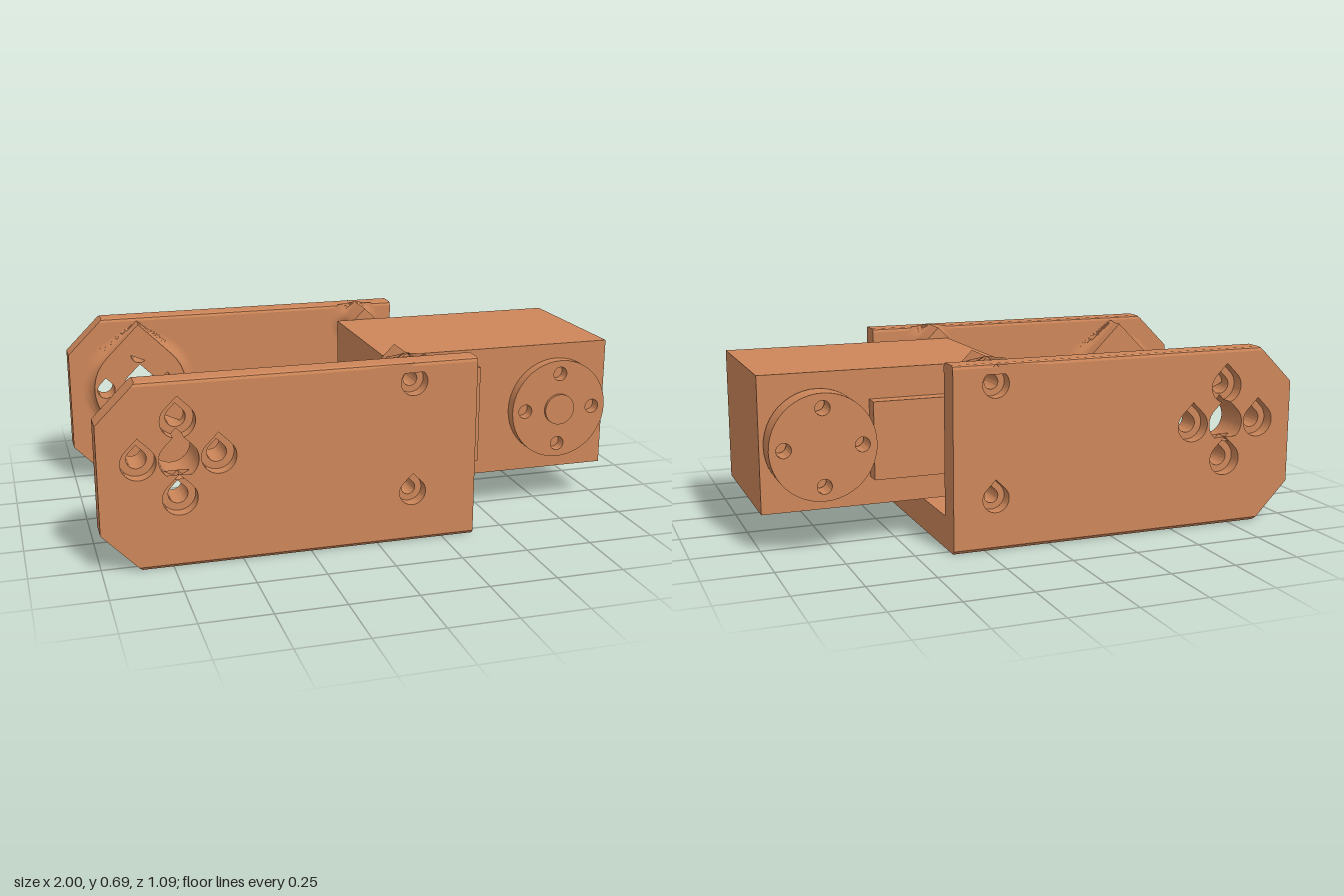
import * as THREE from 'three';
import { toCreasedNormals } from 'three/addons/utils/BufferGeometryUtils.js';

const ROOT2 = Math.SQRT2, PI = Math.PI;
const MID = 0.395; // height of the joint axis
const HORN_X = -0.72; // joint axis on the bracket
const FOUR = [[0.14, 0], [-0.14, 0], [0, 0.14], [0, -0.14]];

// points along an arc
const arc = (x, y, r, a0, a1, n = 28) => Array.from({ length: n + 1 }, (_, i) => {
  const a = a0 + (a1 - a0) * i / n;
  return new THREE.Vector2(x + r * Math.cos(a), y + r * Math.sin(a));
});
const circle = (x, y, r) => arc(x, y, r, 0, 2 * PI, 48).slice(0, -1);

// circle with a 45 degree peak, so it needs no support when printed
const teardrop = (x, y, r) =>
  [...arc(x, y, r, 0.75 * PI, 2.25 * PI), new THREE.Vector2(x, y + r * ROOT2)];

// shape with holes, extruded between two z values
function slab(outline, holes, za, zb) {
  const shape = new THREE.Shape(outline);
  shape.holes = holes.map((h) => new THREE.Path(h));
  const g = new THREE.ExtrudeGeometry(shape, { depth: Math.abs(zb - za), bevelEnabled: false });
  g.translate(0, 0, Math.min(za, zb));
  return toCreasedNormals(g, 0.5);
}

// concave fillet from a teardrop boss down to the plate it stands on
function filletGeometry(x, y, r, f, zBase, dir, yMax) {
  const pos = [], index = [], steps = 8;
  let n = 0;
  for (let i = 0; i <= steps; i++) {
    const a = i / steps * PI / 2;
    const ring = teardrop(x, y, r + f * (1 - Math.sin(a)));
    n = ring.length;
    ring.forEach((p) => pos.push(p.x, Math.min(p.y, yMax), zBase + dir * f * (1 - Math.cos(a))));
  }
  for (let i = 0; i < steps; i++) for (let j = 0; j < n; j++) {
    const a = i * n + j, b = i * n + (j + 1) % n, c = a + n, d = b + n;
    if (dir > 0) index.push(a, b, d, a, d, c);
    else index.push(a, d, b, a, c, d);
  }
  const g = new THREE.BufferGeometry();
  g.setAttribute('position', new THREE.Float32BufferAttribute(pos, 3));
  g.setIndex(index);
  return toCreasedNormals(g, 0.5);
}

// central bore joined with the counterbore above it
function keyhole(x, y) {
  const r = 0.07, cb = 0.062, up = y + 0.14;
  // where the bore's sloping peak meets the counterbore
  const d = 0.14 - r * ROOT2;
  const t = (-d + Math.sqrt(2 * cb * cb - d * d)) / 2;
  const a = Math.atan2(-(d + t), t);
  return [
    ...arc(x, y, r, 0.75 * PI, 2.25 * PI),
    ...arc(x, up, cb, a, PI / 4, 14),
    new THREE.Vector2(x, up + cb * ROOT2),
    ...arc(x, up, cb, 0.75 * PI, PI - a, 14),
  ];
}

export function createModel() {
  const model = new THREE.Group();
  const copper = new THREE.MeshStandardMaterial({ color: 0xcd8659, side: THREE.DoubleSide });
  copper.name = 'copper plastic';
  const add = (parent, name, geometry) => {
    const mesh = new THREE.Mesh(geometry, copper);
    mesh.name = name;
    parent.add(mesh);
    return mesh;
  };
  const box = (parent, name, x0, x1, y0, y1, z0, z1) => {
    const g = new THREE.BoxGeometry(x1 - x0, y1 - y0, z1 - z0);
    g.translate((x0 + x1) / 2, (y0 + y1) / 2, (z0 + z1) / 2);
    return add(parent, name, g);
  };

  const bracket = new THREE.Group();
  bracket.name = 'bracket';
  model.add(bracket);

  const IN = 0.45, STEP = 0.495, OUT = 0.545, LOW = 0.012, HIGH = 0.664, TOP = 0.678;
  const outline = [
    [0.37, LOW], [0.37, HIGH], [-0.86 - (TOP - HIGH), HIGH],
    [-1, 0.538], [-1, 0.145], [-0.86 - LOW, LOW],
  ].map(([x, y]) => new THREE.Vector2(x, y));

  // two arms: +1 is the front one, -1 the back one
  for (const s of [1, -1]) {
    const arm = new THREE.Group();
    arm.name = s > 0 ? 'frontArm' : 'backArm';
    bracket.add(arm);
    const screwX = s > 0 ? 0.13 : 0.21;
    const screws = [[screwX, 0.605], [screwX, 0.19]];
    const bores = [
      teardrop(HORN_X, MID, 0.07),
      ...FOUR.map(([x, y]) => teardrop(HORN_X + x, MID + y, 0.035)),
    ];
    const screwBores = screws.map(([x, y]) => teardrop(x, y, 0.026));

    // plate: inner layer with bores, outer layer with counterbores
    add(arm, 'innerPlate', slab(outline, [...bores, ...screwBores], s * IN, s * STEP));
    add(arm, 'outerPlate', slab(outline, [
      keyhole(HORN_X, MID),
      ...FOUR.filter(([, y]) => y <= 0).map(([x, y]) => teardrop(HORN_X + x, MID + y, 0.062)),
      ...screws.map(([x, y]) => teardrop(x, y, 0.05)),
    ], s * STEP, s * OUT));

    // softened top and bottom edges, cut to follow the clipped corners
    const rim = (name, pts, cut) => {
      const g = new THREE.ExtrudeGeometry(
        new THREE.Shape(pts.map(([z, y]) => new THREE.Vector2(-s * z, y))),
        { depth: 1.23, bevelEnabled: false });
      g.rotateY(PI / 2);
      g.translate(-0.86, 0, 0);
      const p = g.attributes.position;
      for (let i = 0; i < p.count; i++) if (p.getX(i) < 0) p.setX(i, -0.86 - cut(p.getY(i)));
      g.computeVertexNormals();
      add(arm, name, g);
    };
    const e = TOP - HIGH;
    rim('topRim', [[IN, HIGH], [OUT, HIGH], [OUT - 0.3 * e, TOP - 0.3 * e], [OUT - e, TOP],
      [IN + e, TOP], [IN + 0.3 * e, TOP - 0.3 * e]], (y) => TOP - y);
    rim('bottomRim', [[IN, LOW], [OUT, LOW], [OUT - 0.01, 0], [IN, 0]], (y) => y);

    // joint boss on the inner face
    add(arm, 'jointBoss', slab(teardrop(HORN_X, MID, 0.187), bores, s * (s > 0 ? 0.355 : 0.4), s * IN));
    add(arm, 'jointBossFillet', filletGeometry(HORN_X, MID, 0.187, 0.045, s * IN, -s, HIGH));

    // screw bosses reaching in to the servo
    screws.forEach(([x, y], i) => {
      add(arm, 'screwBoss', slab(teardrop(x, y, 0.06), [screwBores[i]], s * (s > 0 ? 0.315 : 0.3), s * (IN + 0.005)));
      add(arm, 'screwBossFillet', filletGeometry(x, y, 0.06, 0.045, s * IN, -s, i ? 1 : 0.69));
    });
  }

  // floor joining the arms, with rounded inner corners
  const floor = slab([
    ...arc(0, IN - 0.05, 0.05, 0, PI / 2, 10),
    new THREE.Vector2(0.37, IN), new THREE.Vector2(0.37, -IN),
    ...arc(0, -IN + 0.05, 0.05, -PI / 2, 0, 10),
  ], [], 0, 0.12);
  floor.rotateX(-PI / 2);
  add(bracket, 'floor', floor);

  // servo
  const servo = new THREE.Group();
  servo.name = 'servo';
  model.add(servo);
  box(servo, 'servoBody', 0.09, 1, 0.147, 0.645, -0.298, 0.312);
  box(servo, 'frontCover', 0.07, 0.465, 0.213, 0.583, 0.31, 0.347);
  box(servo, 'backCover', 0.115, 0.6, 0.25, 0.535, -0.355, -0.297);

  // output discs with screw holes
  const X = 0.793;
  const holes = FOUR.map(([x, y]) => circle(X + x, MID + y, 0.027));
  add(servo, 'frontDisc', slab(circle(X, MID, 0.193), holes, 0.312, 0.355));
  add(servo, 'frontHub', slab(circle(X, MID, 0.06), [], 0.35, 0.366));
  add(servo, 'backDisc', slab(circle(X, MID, 0.193), holes, -0.397, -0.307));
  add(servo, 'backShaft', slab(circle(X, MID, 0.1), [], -0.31, -0.295));

  return model;
}
